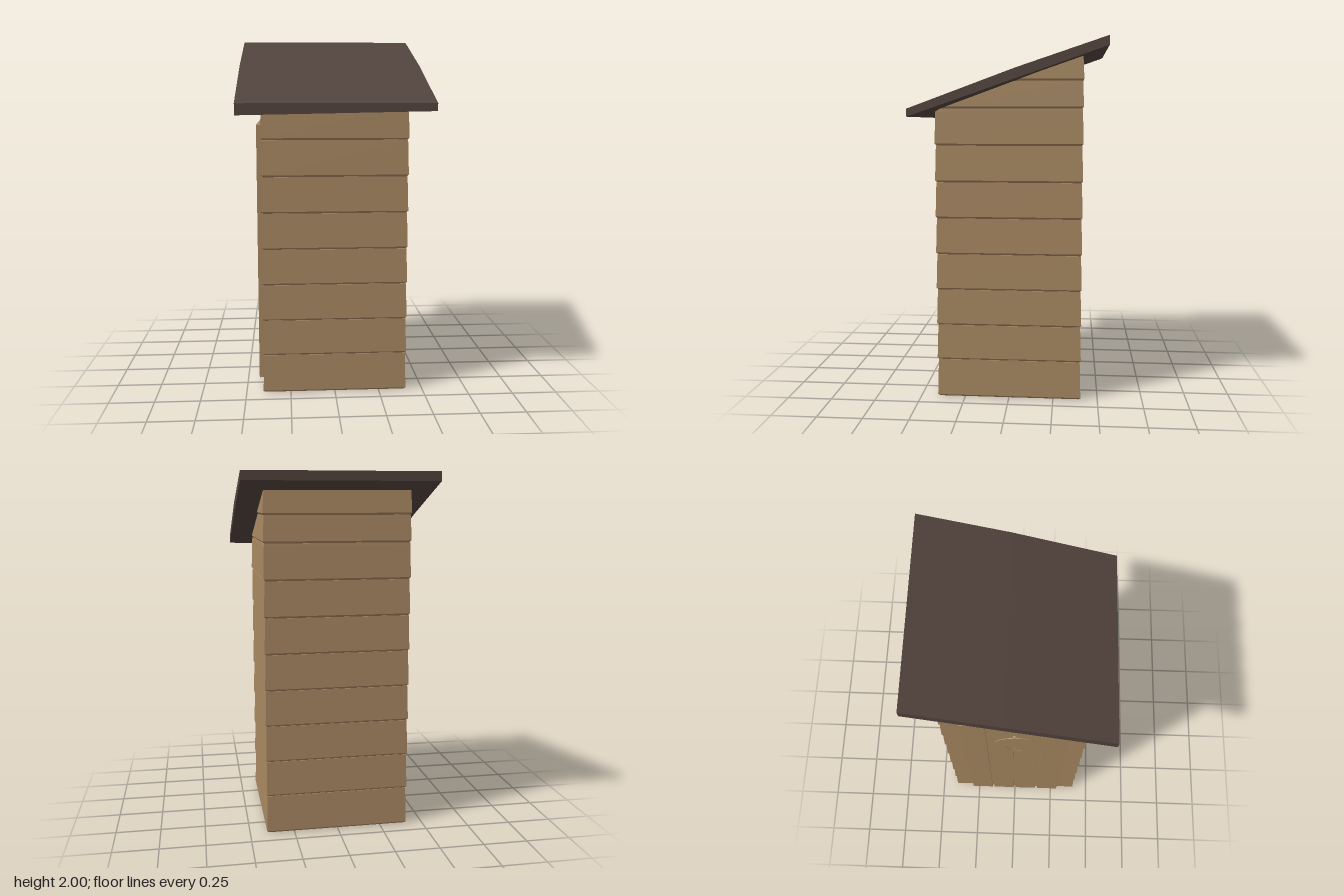
import * as THREE from 'three';

const wood = new THREE.MeshStandardMaterial({ color: 0xa88862 });
wood.name = 'wood';
const roofing = new THREE.MeshStandardMaterial({ color: 0x52433d });
roofing.name = 'roofing';

// depth at which the underside of the roof is y high
const roofZ = (y) => 0.53 - (y - 1.57) / 0.366;

// skin a stack of four-cornered rings with flat faces and closed ends
function loftRings(rings) {
  const pos = [];
  const quad = (a, b, c, d) => pos.push(...a, ...b, ...c, ...a, ...c, ...d);
  for (let i = 0; i < rings.length - 1; i++) {
    const lo = rings[i], hi = rings[i + 1];
    for (let k = 0; k < 4; k++) {
      const n = (k + 1) % 4;
      quad(lo[k], lo[n], hi[n], hi[k]);
    }
  }
  const first = rings[0], last = rings[rings.length - 1];
  quad(first[3], first[2], first[1], first[0]);
  quad(last[0], last[1], last[2], last[3]);
  const geo = new THREE.BufferGeometry();
  geo.setAttribute('position', new THREE.Float32BufferAttribute(pos, 3));
  geo.computeVertexNormals();
  return geo;
}

// one ring of the walls, cut short in front where the roof comes down
function wallRing(r, y) {
  const zf = Math.max(-r + 0.002, Math.min(r, roofZ(y)));
  return [[-r, y, zf], [r, y, zf], [r, y, -r], [-r, y, -r]];
}

// clapboards: each leans in toward its top and has a bevelled lower lip
function buildWalls() {
  const group = new THREE.Group();
  group.name = 'walls';
  const seams = [0, 0.217, 0.418, 0.622, 0.823, 1.025, 1.226, 1.427, 1.627, 1.775, 1.905];
  for (let i = 0; i < seams.length - 1; i++) {
    const y0 = seams[i], y1 = seams[i + 1];
    const rings = [wallRing(0.394, y0), wallRing(0.405, y0 + 0.011)];
    if (y0 < 1.6 && y1 > 1.615) rings.push(wallRing(0.4, 1.612));
    rings.push(wallRing(0.399, y1));
    const board = new THREE.Mesh(loftRings(rings), wood);
    board.name = 'clapboardCourse';
    group.add(board);
  }
  return group;
}

// slab with a slight bend, narrower at the high back edge
function buildRoof() {
  const section = [
    // z, top, bottom, half width, twist of the lower edge
    [0.53, 1.627, 1.575, 0.533, 0.01],
    [-0.045, 1.838, 1.783, 0.532, 0],
    [-0.53, 2.0, 1.95, 0.525, 0],
  ];
  const rings = section.map(([z, top, bottom, w, twist]) => [
    [-w, bottom - twist, z], [-w, top, z], [w, top, z], [w, bottom + twist, z],
  ]);
  const mesh = new THREE.Mesh(loftRings(rings), roofing);
  mesh.name = 'roof';
  return mesh;
}

function box(name, x0, x1, y0, y1, z0, z1) {
  const geo = new THREE.BoxGeometry(x1 - x0, y1 - y0, z1 - z0);
  const mesh = new THREE.Mesh(geo, wood);
  mesh.position.set((x0 + x1) / 2, (y0 + y1) / 2, (z0 + z1) / 2);
  mesh.name = name;
  return mesh;
}

// crescent ornament, lying in the z-y plane with its horns toward +z and up
function buildMoon() {
  const R = 0.13, horn = 1.05;
  const shape = new THREE.Shape();
  shape.absarc(0, 0, R, horn, Math.PI * 2 - horn, false);
  const d = 0.05;
  const hx = R * Math.cos(horn) - d, hy = R * Math.sin(horn);
  const a = Math.atan2(hy, hx);
  shape.absarc(d, 0, Math.hypot(hx, hy), -a, a, true);
  const geo = new THREE.ExtrudeGeometry(shape, { depth: 0.016, bevelEnabled: false, curveSegments: 14 });
  geo.rotateZ(Math.PI - 0.35);
  geo.rotateY(-Math.PI / 2);
  // after the turn the horns face -z, so swing them round to +z
  geo.rotateX(Math.PI);
  const mesh = new THREE.Mesh(geo, wood);
  mesh.position.set(-0.418, 1.18, 0.015);
  mesh.name = 'crescentOrnament';
  return mesh;
}

// plank door on the model's right side
function buildDoor() {
  const group = new THREE.Group();
  group.name = 'door';
  group.add(box('doorBacking', -0.418, -0.39, 0.05, 1.495, -0.285, 0.295));
  const count = 4, pitch = 0.148;
  for (let i = 0; i < count; i++) {
    const z = -0.29 + i * pitch;
    group.add(box('doorPlank', -0.43, -0.4, 0.045, 1.505, z, z + pitch - 0.014));
  }
  const moon = buildMoon();
  group.add(moon);
  return group;
}

export function createModel() {
  const model = new THREE.Group();
  model.name = 'shed';
  model.add(buildWalls(), buildRoof(), buildDoor());
  return model;
}
